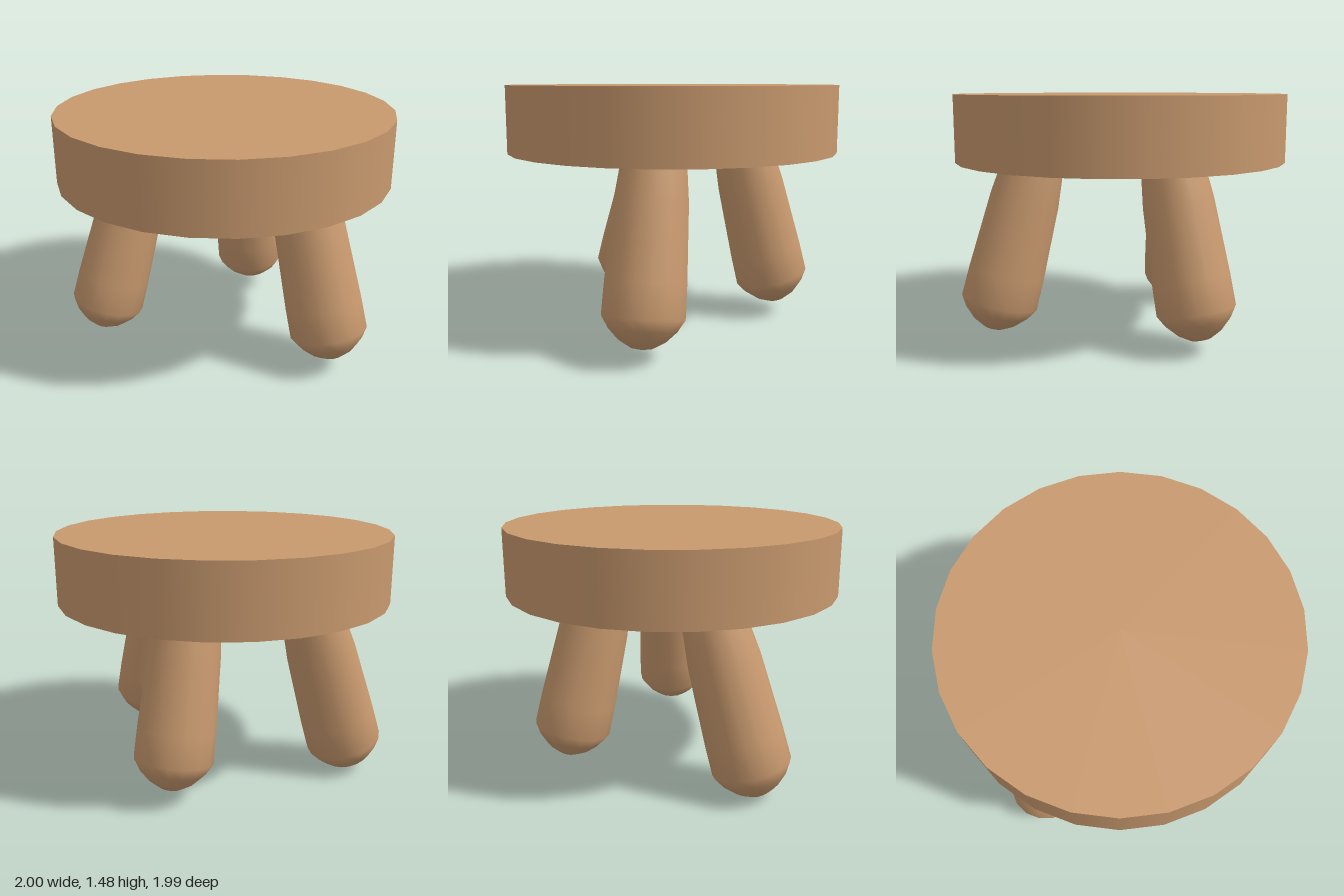
import * as THREE from 'three';

export function createModel() {
  const wood = new THREE.MeshStandardMaterial({ color: 0xc8996e });
  wood.name = 'wood';
  const model = new THREE.Group();
  model.name = 'stool';

  // Thick round seat
  const seat = new THREE.Mesh(new THREE.CylinderGeometry(1, 1, 0.4, 26), wood);
  seat.name = 'seat';
  seat.rotation.y = Math.PI / 2;
  seat.position.y = 1.28;
  model.add(seat);

  // Stubby leg profile [radius, height along the leg]: rounded foot, slimmer neck hidden in the seat
  const profile = [
    [0, -0.175], [0.06, -0.165], [0.13, -0.125], [0.19, -0.065], [0.23, 0], [0.227, 0.18],
    [0.207, 0.63], [0.186, 0.82], [0.178, 0.92], [0.16, 1.05], [0, 1.08],
  ].map(([r, y]) => new THREE.Vector2(r, y));
  const legGeometry = new THREE.LatheGeometry(profile, 16);

  // Each leg runs from its widest ring near the floor up to the seat's underside
  const legs = [
    ['leftLeg', [0.73, 0.255, 0.27], [0.525, 1.08, 0.18]],
    ['rightLeg', [-0.74, 0.18, 0.205], [-0.545, 1.08, 0.02]],
    ['backLeg', [0, 0.255, -0.655], [0, 1.08, -0.45]],
  ];
  const up = new THREE.Vector3(0, 1, 0);
  for (const [name, foot, top] of legs) {
    const leg = new THREE.Mesh(legGeometry, wood);
    leg.name = name;
    leg.position.set(...foot);
    const axis = new THREE.Vector3(...top).sub(leg.position).normalize();
    leg.quaternion.setFromUnitVectors(up, axis);
    model.add(leg);
  }
  return model;
}
